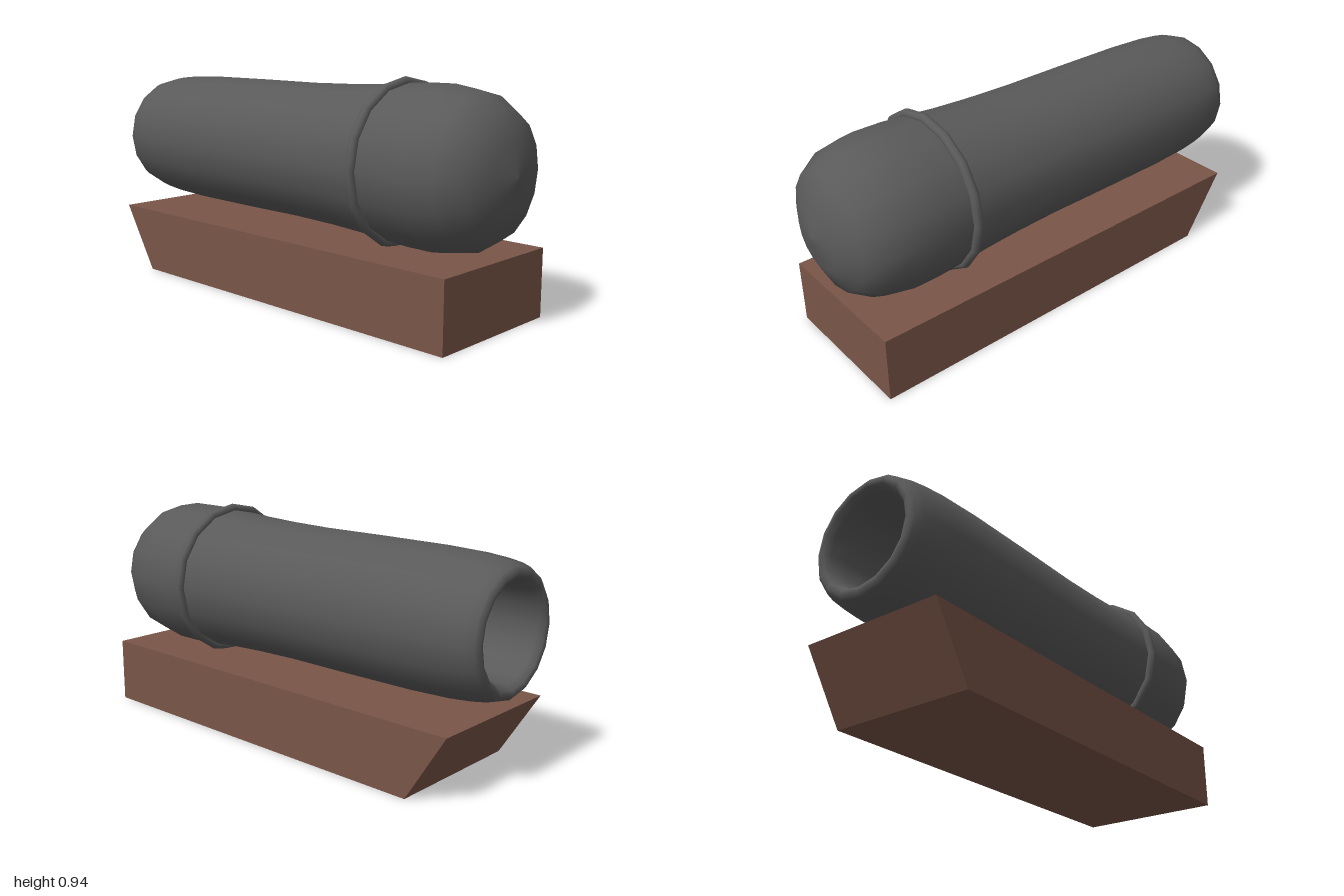
import * as THREE from 'three';

export function createModel() {
  const iron = new THREE.MeshStandardMaterial({ name: 'dark iron', color: 0x5a5a5a });
  const wood = new THREE.MeshStandardMaterial({ name: 'brown wood', color: 0x795548 });

  const group = new THREE.Group();
  group.name = 'cannon';
  const add = (name, geometry, material, y = 0, z = 0) => {
    const mesh = new THREE.Mesh(geometry, material);
    mesh.name = name;
    mesh.position.set(0, y, z);
    group.add(mesh);
  };

  const axisY = 0.6;

  // Barrel: bore from its closed end to the mouth, then the outside to the rounded breech (radius, z)
  const profile = [
    [0, 0.3], [0.17, 0.28], [0.19, 0.2], [0.19, -0.5], [0.19, -0.9], [0.195, -0.97], [0.21, -0.995],
    [0.23, -1], [0.248, -0.985], [0.26, -0.95], [0.27, -0.89], [0.279, -0.8], [0.286, -0.62],
    [0.288, -0.3], [0.288, 0], [0.293, 0.2], [0.301, 0.36], [0.311, 0.48], [0.319, 0.6],
    [0.32, 0.72], [0.298, 0.84], [0.24, 0.93], [0.13, 0.98], [0, 1],
  ].map(([r, z]) => new THREE.Vector2(r, z));
  add('barrel', new THREE.LatheGeometry(profile, 16).rotateX(Math.PI / 2), iron, axisY);

  // Raised band in front of the breech
  add('barrelBand', new THREE.TorusGeometry(0.317, 0.02, 10, 16), iron, axisY, 0.48);

  // Wooden bed with its slanted end under the muzzle
  const side = new THREE.Shape([
    [-0.92, 0], [0.76, 0], [0.935, 0.28], [-0.92, 0.28],
  ].map(([x, y]) => new THREE.Vector2(x, y)));
  const width = 0.632;
  const bed = new THREE.ExtrudeGeometry(side, { depth: width, bevelEnabled: false });
  bed.translate(0, 0, -width / 2).rotateY(Math.PI / 2);
  add('woodenBed', bed, wood);

  return group;
}
